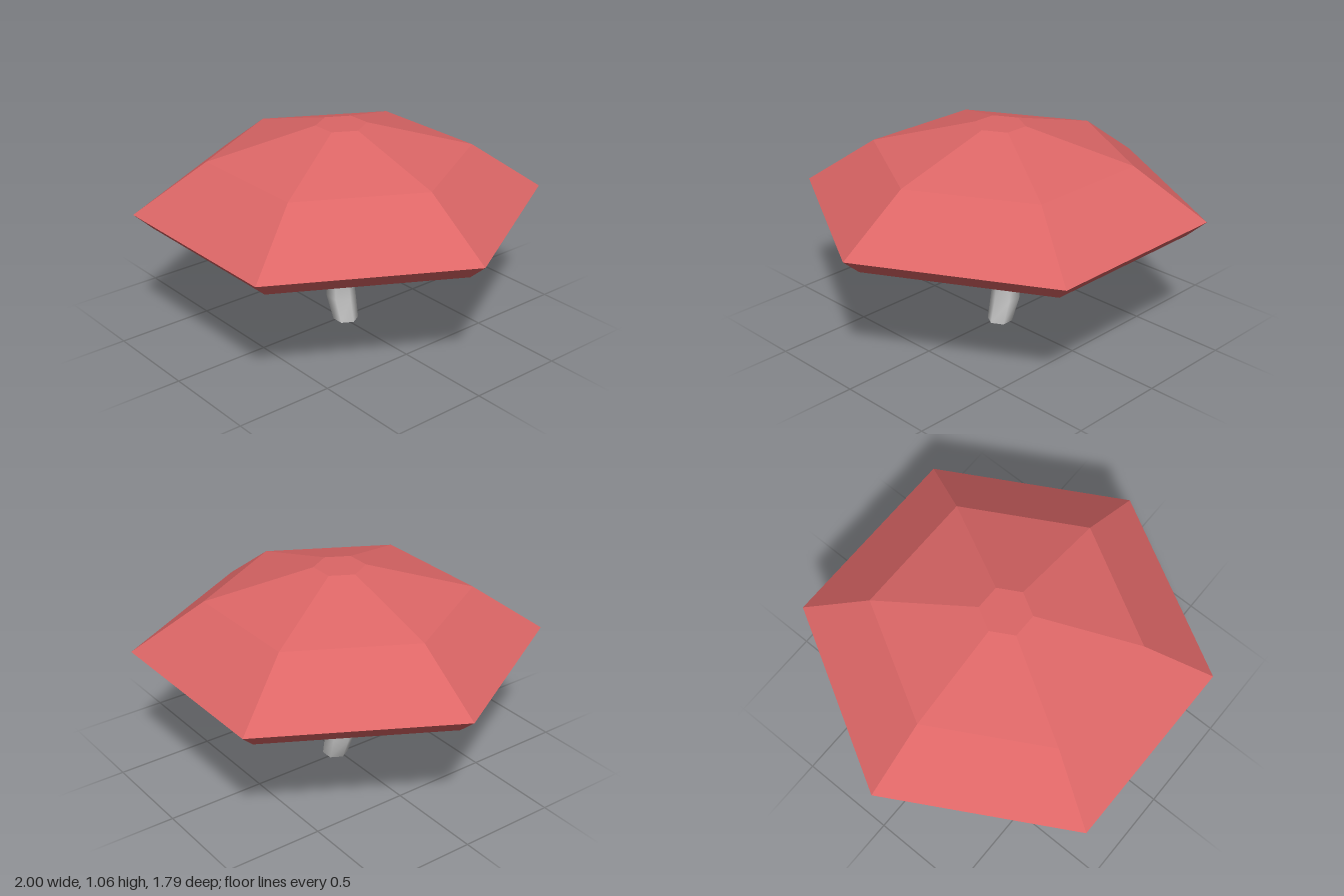
import * as THREE from 'three';

// Six-sided cross-section: side corners at +-x, front and back corners at (+-mid, +-z)
const ring = (y, x, mid, z, cx = 0, cz = 0) =>
  [[x, 0], [mid, z], [-mid, z], [-x, 0], [-mid, -z], [mid, -z]].map(([px, pz]) => [px + cx, y, pz + cz]);

// Skin a stack of rings (bottom to top) and close both ends with flat faces
function loft(rings, smooth) {
  const n = 6, pos = rings.flat(2), index = [];
  for (let i = 0; i < rings.length - 1; i++) {
    for (let j = 0; j < n; j++) {
      const a = i * n + j, b = i * n + (j + 1) % n, c = a + n, d = b + n;
      index.push(a, c, b, b, c, d);
    }
  }
  const bottom = rings.length * n, top = bottom + n;
  pos.push(...rings[0].flat(), ...rings[rings.length - 1].flat());
  for (let j = 1; j < n - 1; j++) {
    index.push(bottom, bottom + j, bottom + j + 1, top, top + j + 1, top + j);
  }
  let geometry = new THREE.BufferGeometry();
  geometry.setAttribute('position', new THREE.Float32BufferAttribute(pos, 3));
  geometry.setIndex(index);
  if (!smooth) geometry = geometry.toNonIndexed(); // faceted normals
  geometry.computeVertexNormals();
  return geometry;
}

export function createModel() {
  const red = new THREE.MeshStandardMaterial({ color: 0xdc6666 });
  red.name = 'capRed';
  const grey = new THREE.MeshStandardMaterial({ color: 0xc4c4c4 });
  grey.name = 'stemGrey';

  const model = new THREE.Group();
  model.name = 'mushroom';
  const add = (name, geometry, material) => {
    const mesh = new THREE.Mesh(geometry, material);
    mesh.name = name;
    model.add(mesh);
  };

  // Wide faceted cap: [height, radius]
  const capProfile = [[0.58, 0.91], [0.66, 1], [0.91, 0.645], [1.06, 0.125]];
  add('cap', loft(capProfile.map(([y, r]) => ring(y, r, r / 2, r * 0.895)), false), red);

  // Tapered gill block under the cap
  add('gills', loft([
    ring(0.447, 0.23, 0.113, 0.163, 0, -0.017),
    ring(0.582, 0.35, 0.14, 0.333, 0, -0.017),
  ], false), grey);

  // Bent, smooth-sided stem: [height, centre x, radius]
  const stemProfile = [[0, 0.018, 0.064], [0.12, -0.02, 0.075], [0.275, -0.033, 0.063], [0.46, 0.003, 0.082]];
  add('stem', loft(stemProfile.map(([y, x, r]) => ring(y, r, r / 2, r * 0.88, x, -0.015)), true), grey);

  return model;
}
